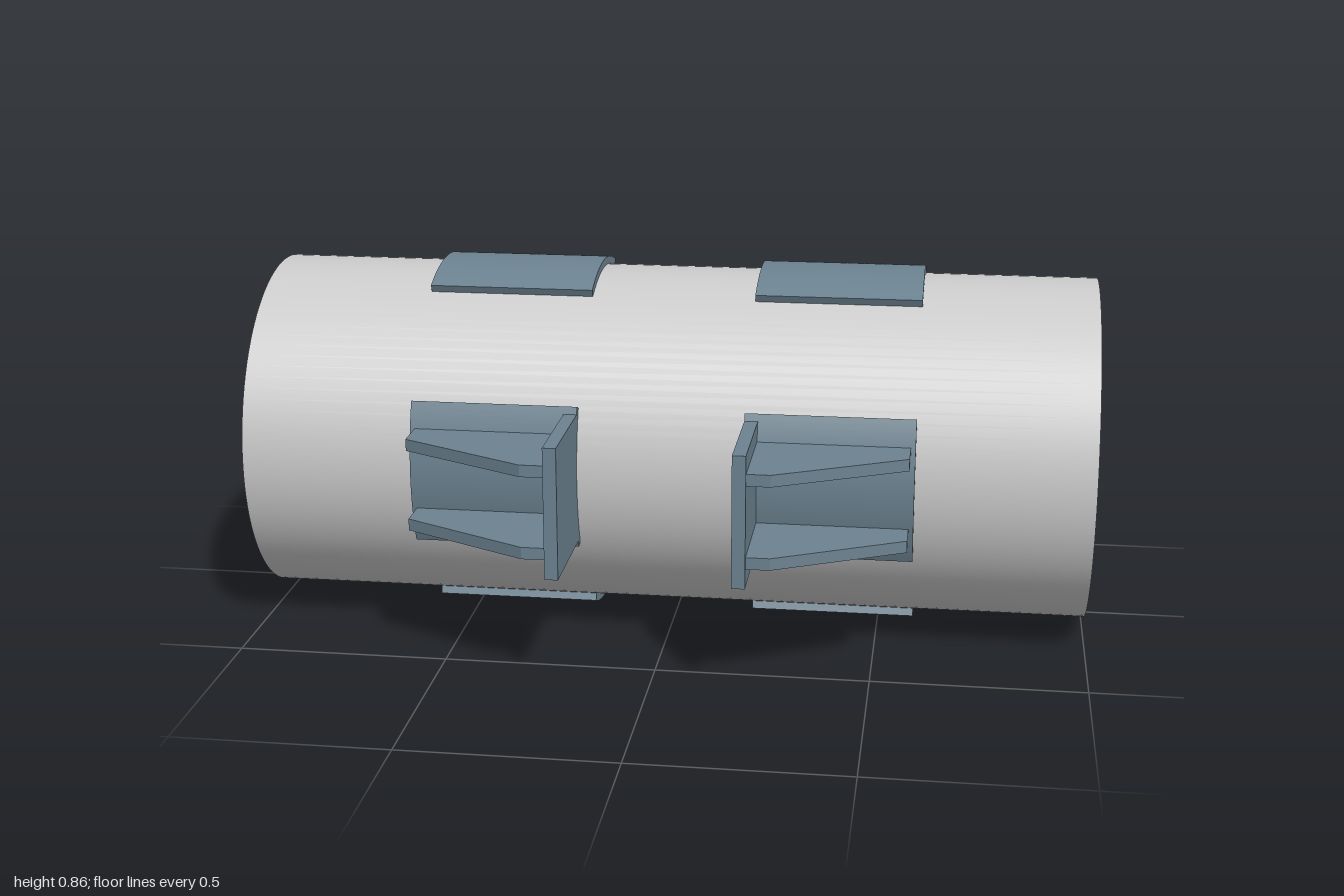
import * as THREE from 'three';
import { toCreasedNormals } from 'three/addons/utils/BufferGeometryUtils.js';

const PIPE_IN = 0.402, PIPE_OUT = 0.413, PAD_OUT = 0.4315;
const X0 = 0.195, X1 = 0.588; // extent of each pad along the pipe

const grey = new THREE.MeshStandardMaterial({ color: 0xcccccc });
const steel = new THREE.MeshStandardMaterial({ color: 0x6c8290 });

// Extrude a cross-section along the pipe axis, from x = from to x = to
function alongX(shape, from, to, curveSegments) {
  const g = new THREE.ExtrudeGeometry(shape, { depth: to - from, bevelEnabled: false, curveSegments });
  g.translate(0, 0, from);
  g.rotateY(Math.PI / 2);
  return toCreasedNormals(g, 0.5);
}

function add(parent, name, geometry, material) {
  const mesh = new THREE.Mesh(geometry, material);
  mesh.name = name;
  parent.add(mesh);
  return mesh;
}

// Curved saddle pad centred on the given angle around the pipe
function padGeometry(angle) {
  const half = Math.asin(0.172 / PAD_OUT);
  const s = new THREE.Shape();
  s.absarc(0, 0, PAD_OUT, angle - half, angle + half, false);
  s.absarc(0, 0, PIPE_OUT, angle + half, angle - half, true);
  s.closePath();
  return alongX(s, X0, X1, 12);
}

// End plate whose inner edge follows the pad, with two tapered ribs behind it
function createBracket() {
  const bracket = new THREE.Group();
  const h = 0.155, r = 0.428, a = Math.asin(h / r);
  const plate = new THREE.Shape();
  plate.moveTo(0.664, -h);
  plate.lineTo(0.664, h);
  plate.lineTo(r * Math.cos(a), h);
  plate.absarc(0, 0, r, a, -a, true);
  plate.closePath();
  const plateGeo = alongX(plate, X0, 0.226, 12);
  plateGeo.rotateX(Math.PI); // brings the plate to +z after the turn below
  plateGeo.rotateZ(0);
  add(bracket, 'endPlate', plateGeo, steel);

  const rib = new THREE.Shape([
    [0.22, 0.418], [0.577, 0.418], [0.577, 0.502], [0.28, 0.656], [0.22, 0.656],
  ].map(([x, z]) => new THREE.Vector2(x, z)));
  for (const y of [-0.097, 0.097]) {
    const g = new THREE.ExtrudeGeometry(rib, { depth: 0.028, bevelEnabled: false });
    g.translate(0, 0, -0.014);
    g.rotateX(Math.PI / 2);
    g.translate(0, y, 0);
    add(bracket, 'rib', g, steel);
  }
  return bracket;
}

export function createModel() {
  const model = new THREE.Group();
  model.name = 'pipeWithSupports';
  const assembly = new THREE.Group();
  assembly.name = 'pipeAssembly';
  assembly.position.y = PAD_OUT;
  model.add(assembly);

  // Open thin-walled pipe
  const ring = new THREE.Shape();
  ring.absarc(0, 0, PIPE_OUT, 0, Math.PI * 2, false);
  const bore = new THREE.Path();
  bore.absarc(0, 0, PIPE_IN, 0, Math.PI * 2, true);
  ring.holes.push(bore);
  add(assembly, 'pipe', alongX(ring, -1, 1, 48), grey);

  // Four pads around the pipe at each of the two stations
  ['back', 'top', 'front', 'bottom'].forEach((side, i) => {
    const g = padGeometry(i * Math.PI / 2);
    add(assembly, side + 'PadLeft', g, steel);
    const shifted = g.clone().translate(-(X0 + X1), 0, 0);
    add(assembly, side + 'PadRight', shifted, steel);
  });

  // Brackets on the front and back pads, turned so the plates face the middle
  const turns = {
    frontLeft: [0, 0, 0], frontRight: [0, 0, Math.PI],
    backLeft: [Math.PI, 0, 0], backRight: [0, Math.PI, 0],
  };
  for (const [name, turn] of Object.entries(turns)) {
    const b = createBracket();
    b.name = name + 'Bracket';
    b.rotation.set(...turn);
    assembly.add(b);
  }
  return model;
}
